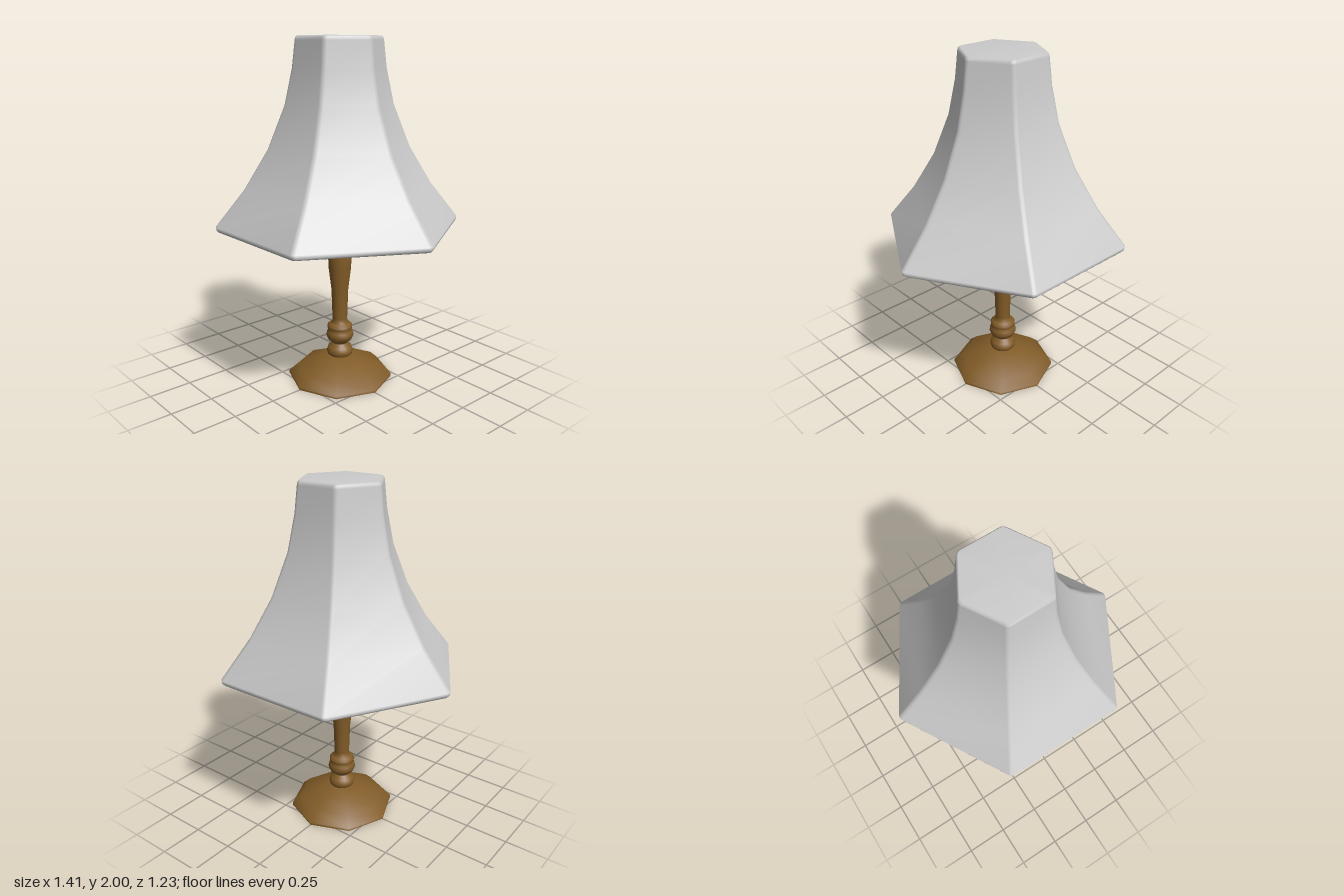
import * as THREE from 'three';

const v2 = (pts) => pts.map(([r, y]) => new THREE.Vector2(r, y));

function lathe(name, pts, sides, material) {
  const mesh = new THREE.Mesh(new THREE.LatheGeometry(v2(pts), sides), material);
  mesh.name = name;
  return mesh;
}

// One rounded hexagon, with its outermost corners on the x axis
function hexRing(radius, y, fillet) {
  const ring = [];
  const f = Math.min(fillet, radius);
  for (let corner = 0; corner < 6; corner++) {
    for (const turn of [-30, -10, 10, 30]) {
      const c = THREE.MathUtils.degToRad(corner * 60);
      const a = c + THREE.MathUtils.degToRad(turn);
      ring.push([
        (radius - f) * Math.cos(c) + f * Math.cos(a),
        y,
        -(radius - f) * Math.sin(c) - f * Math.sin(a),
      ]);
    }
  }
  return ring;
}

// Skins a stack of closed rings with smooth, area-weighted normals
function loft(rings) {
  const n = rings[0].length;
  const index = [];
  for (let i = 0; i < rings.length - 1; i++) {
    for (let j = 0; j < n; j++) {
      const a = i * n + j, b = i * n + ((j + 1) % n);
      index.push(a, b, b + n, a, b + n, a + n);
    }
  }
  const geometry = new THREE.BufferGeometry();
  geometry.setAttribute('position', new THREE.Float32BufferAttribute(rings.flat(2), 3));
  geometry.setIndex(index);
  geometry.computeVertexNormals();
  return geometry;
}

export function createModel() {
  const model = new THREE.Group();
  model.name = 'tableLamp';
  const fabric = new THREE.MeshStandardMaterial({ color: 0xcccccc });
  const wood = new THREE.MeshStandardMaterial({ color: 0x825c28 });
  const glow = new THREE.MeshStandardMaterial({ color: 0xff8010 });

  // Octagonal foot with a flat underside
  const foot = new THREE.Group();
  foot.name = 'foot';
  foot.add(lathe('footDome', [
    [0.31, 0], [0.31, 0.015], [0.255, 0.065], [0.15, 0.112], [0.07, 0.14], [0, 0.14],
  ], 8, wood));
  foot.add(lathe('footUnderside', [[0, 0], [0.31, 0]], 8, wood));
  model.add(foot);

  // Turned post: beads, tapered shaft, collar rings and socket
  model.add(lathe('post', [
    [0.06, 0.13], [0.074, 0.145], [0.078, 0.165], [0.07, 0.19], [0.045, 0.21],
    [0.045, 0.217], [0.07, 0.235], [0.082, 0.262], [0.077, 0.285], [0.066, 0.3],
    [0.074, 0.308], [0.074, 0.325], [0.06, 0.338], [0.045, 0.345],
    [0.044, 0.37], [0.05, 0.55], [0.066, 0.68], [0.069, 0.75], [0.066, 0.81], [0.056, 0.82],
    [0.07, 0.828], [0.073, 0.84], [0.07, 0.855], [0.058, 0.862],
    [0.066, 0.87], [0.066, 0.888], [0.056, 0.895], [0.062, 0.905],
    [0.074, 0.925], [0.082, 0.955], [0.076, 0.99], [0.06, 1.02],
    [0.05, 1.035], [0.055, 1.045], [0.055, 1.065], [0.046, 1.075],
    [0.052, 1.085], [0.052, 1.105], [0.042, 1.12], [0.04, 1.16], [0, 1.16],
  ], 20, wood));

  // Teardrop bulb
  model.add(lathe('bulb', [
    [0.034, 1.15], [0.036, 1.18], [0.06, 1.25], [0.084, 1.32], [0.092, 1.37],
    [0.084, 1.42], [0.055, 1.458], [0, 1.475],
  ], 20, glow));

  // Hollow six-sided shade: inner wall down, round the rim, outer wall up
  const flare = [[0.705, 0.965], [0.54, 1.17], [0.405, 1.39], [0.307, 1.63], [0.263, 1.83], [0.246, 1.975]];
  const inner = flare.map(([r, y]) => hexRing(r - 0.03, Math.min(y, 1.965), 0.012)).reverse();
  const outer = flare.map(([r, y]) => hexRing(r, y, 0.03));
  const shade = new THREE.Mesh(loft([
    hexRing(0, 1.965, 0), ...inner,
    hexRing(0.667, 0.942, 0.015), hexRing(0.675, 0.935, 0.02),
    hexRing(0.692, 0.935, 0.025), hexRing(0.702, 0.945, 0.03),
    ...outer,
    hexRing(0.243, 1.99, 0.03), hexRing(0.232, 2, 0.025), hexRing(0, 2, 0),
  ]), fabric);
  shade.name = 'shade';
  model.add(shade);

  return model;
}
